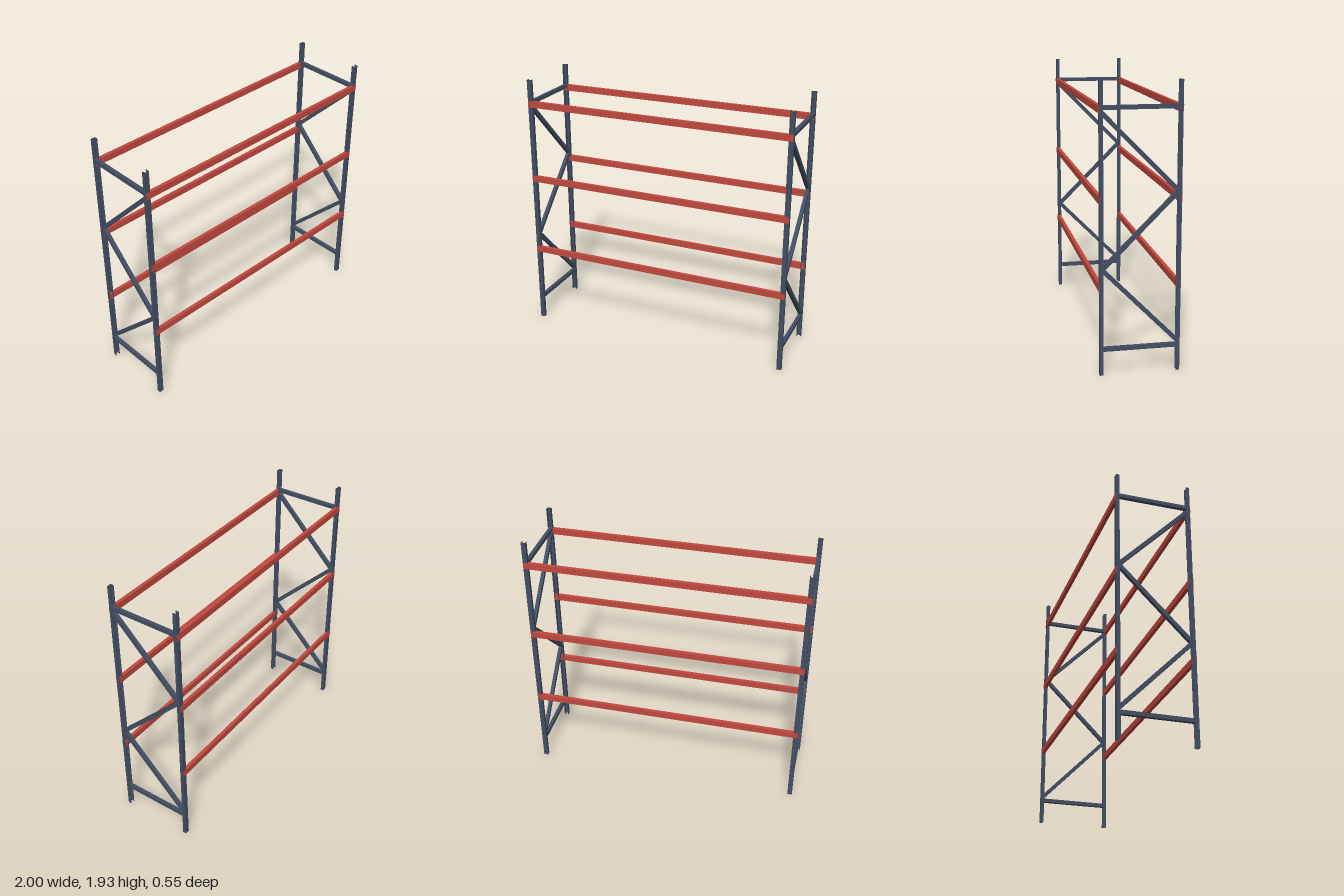
import * as THREE from 'three';

const H = 1.935, POST_W = 0.034, POST_D = 0.025, WALL = 0.004;
const POST_X = 1 - POST_W / 2, POST_Z = 0.257;

const steel = new THREE.MeshStandardMaterial({ color: 0x434e63 });
steel.name = 'blue grey steel';
const red = new THREE.MeshStandardMaterial({ color: 0xc2493f });
red.name = 'red beam paint';

function box(name, w, h, d, material, x, y, z) {
  const mesh = new THREE.Mesh(new THREE.BoxGeometry(w, h, d), material);
  mesh.name = name;
  mesh.position.set(x, y, z);
  return mesh;
}

// Upright: a channel section whose open side faces the inside of the frame
function post(x, side) {
  const w = POST_W / 2, d = POST_D / 2, t = WALL;
  const section = new THREE.Shape([
    [-w, -d], [w, -d], [w, d], [w - t, d],
    [w - t, -d + t], [-w + t, -d + t], [-w + t, d], [-w, d],
  ].map(([a, b]) => new THREE.Vector2(a, b)));
  const geometry = new THREE.ExtrudeGeometry(section, { depth: H, bevelEnabled: false });
  geometry.rotateX(-Math.PI / 2);
  const mesh = new THREE.Mesh(geometry, steel);
  mesh.name = 'upright';
  mesh.position.set(x, 0, side * POST_Z);
  if (side < 0) mesh.rotation.y = Math.PI;
  return mesh;
}

// Square bar between two [z, y] points of a side frame
function brace(name, x, [z0, y0], [z1, y1]) {
  const length = Math.hypot(z1 - z0, y1 - y0);
  const mesh = box(name, 0.026, 0.028, length, steel, x, (y0 + y1) / 2, (z0 + z1) / 2);
  mesh.rotation.x = -Math.atan2(y1 - y0, z1 - z0);
  return mesh;
}

export function createModel() {
  const model = new THREE.Group();
  model.name = 'palletRack';

  // Side frames with level braces and a zigzag of diagonals
  for (const side of [-1, 1]) {
    const frame = new THREE.Group();
    frame.name = side > 0 ? 'leftFrame' : 'rightFrame';
    const x = side * POST_X;
    frame.add(post(x, 1), post(x, -1));
    for (const y of [0.178, 1.767]) {
      frame.add(brace('levelBrace', x, [-0.255, y], [0.255, y]));
    }
    const zigzag = [[0.252, 1.735], [-0.252, 1.223], [0.252, 0.72], [-0.252, 0.208]];
    for (let i = 0; i < 3; i++) {
      frame.add(brace('diagonalBrace', x, zigzag[i], zigzag[i + 1]));
    }
    model.add(frame);
  }

  // Load beams, three levels at the front and the back
  for (const y of [0.596, 1.177, 1.755]) {
    for (const side of [-1, 1]) {
      model.add(box(side > 0 ? 'frontBeam' : 'backBeam',
        1.998, 0.046, 0.025, red, 0, y, side * 0.26));
    }
  }
  return model;
}
